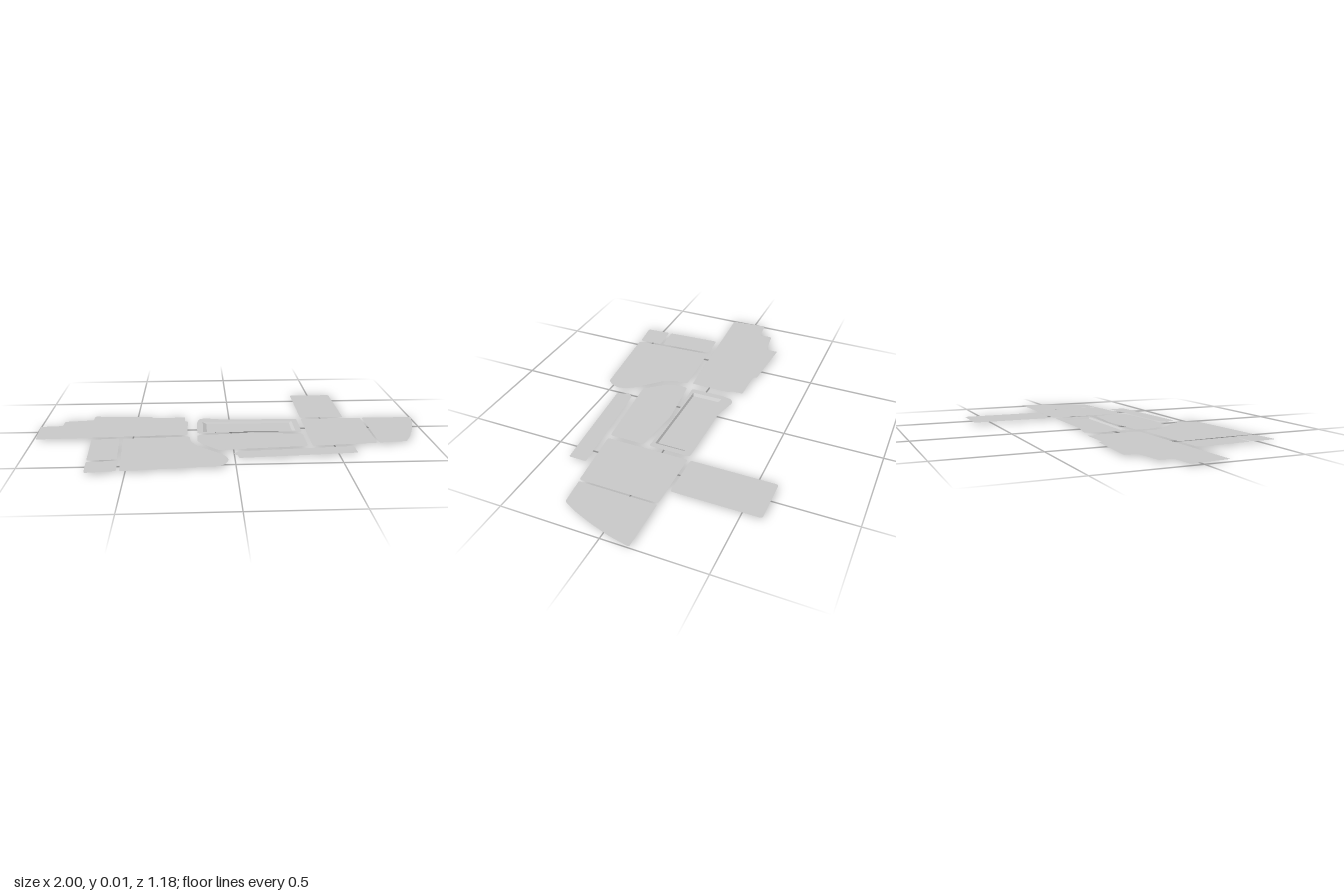
import * as THREE from 'three';

const TOP = 0.008; // height of the flat sheet above the tray floor
const material = new THREE.MeshStandardMaterial({ color: 0xcccccc, side: THREE.DoubleSide, flatShading: true });

// Flat outline from [x, z] corners, each corner rounded by radius r.
function roundedShape(points, r) {
  const pts = points.map(([x, z]) => new THREE.Vector2(x, -z));
  const shape = new THREE.Shape();
  pts.forEach((p, i) => {
    const prev = pts[(i + pts.length - 1) % pts.length];
    const next = pts[(i + 1) % pts.length];
    const toward = (q) => p.clone().lerp(q, Math.min(0.45, r / p.distanceTo(q)));
    const a = toward(prev), b = toward(next);
    if (i === 0) shape.moveTo(a.x, a.y);
    else shape.lineTo(a.x, a.y);
    shape.quadraticCurveTo(p.x, p.y, b.x, b.y);
  });
  shape.closePath();
  return shape;
}

function rect(x0, x1, z0, z1) {
  return [[x0, z0], [x1, z0], [x1, z1], [x0, z1]];
}

function plate(name, points, r = 0.012, hole = null) {
  const shape = roundedShape(points, r);
  if (hole) shape.holes.push(new THREE.Path(hole.map(([x, z]) => new THREE.Vector2(x, -z))));
  const geometry = new THREE.ShapeGeometry(shape, 5).rotateX(-Math.PI / 2).translate(0, TOP, 0);
  const mesh = new THREE.Mesh(geometry, material);
  mesh.name = name;
  return mesh;
}

// Shallow pan: four sloping walls from the rim down to a flat floor.
function tray(name, rim, floor) {
  const positions = [...rim.map(([x, z]) => [x, TOP, z]), ...floor.map(([x, z]) => [x, 0, z])].flat();
  const index = [4, 7, 6, 4, 6, 5];
  for (let i = 0; i < 4; i++) {
    const j = (i + 1) % 4;
    index.push(i, i + 4, j + 4, i, j + 4, j);
  }
  const geometry = new THREE.BufferGeometry();
  geometry.setAttribute('position', new THREE.Float32BufferAttribute(positions, 3));
  geometry.setIndex(index);
  const flat = geometry.toNonIndexed();
  flat.computeVertexNormals();
  const mesh = new THREE.Mesh(flat, material);
  mesh.name = name;
  return mesh;
}

export function createModel() {
  const group = new THREE.Group();
  group.name = 'flatPanels';

  // Stepped panel on the right side of the layout
  group.add(plate('steppedPanel', [
    [-1, -0.065], [-0.885, -0.075], [-0.885, -0.145], [-0.735, -0.165], [-0.735, -0.23],
    [-0.42, -0.21], [-0.42, -0.19], [-0.24, -0.19], [-0.24, -0.125], [-0.225, -0.12],
    [-0.225, 0.097], [-0.985, 0.133],
  ], 0.008));

  // Small panels and the curved panel in front of it
  group.add(plate('narrowPanel', [[-0.705, 0.147], [-0.565, 0.14], [-0.55, 0.43], [-0.69, 0.44]]));
  group.add(plate('smallPanel', [[-0.69, 0.455], [-0.545, 0.445], [-0.54, 0.572], [-0.682, 0.588]]));
  group.add(plate('curvedPanel', [
    [-0.55, 0.14], [-0.215, 0.125], [-0.208, 0.2], [-0.18, 0.26], [-0.075, 0.365], [-0.04, 0.415],
    [-0.03, 0.46], [-0.045, 0.505], [-0.07, 0.535], [-0.525, 0.575],
  ], 0.015));

  // Central panel with a sunken tray
  const rim = rect(-0.145, 0.335, -0.105, 0.058);
  group.add(plate('trayPanel', [
    [-0.175, 0.078], [-0.175, -0.1], [-0.165, -0.155], [-0.135, -0.171], [-0.1, -0.162],
    [-0.01, -0.14], [0.365, -0.14], [0.365, 0.078], [0.1, 0.062],
  ], 0.015, rim));
  group.add(tray('sunkenTray', rim, rect(-0.125, 0.32, -0.095, 0.05)));

  // Panels in front of the tray
  group.add(plate('peakedPanel', [
    [-0.175, 0.108], [0.1, 0.081], [0.365, 0.108], [0.365, 0.292], [-0.075, 0.328],
    [-0.16, 0.227], [-0.175, 0.19],
  ], 0.015));
  group.add(plate('stripPanel', [
    [-0.005, 0.38], [0.02, 0.35], [0.59, 0.303], [0.59, 0.395], [0.02, 0.438], [0.015, 0.405],
  ], 0.008));

  // Left side panels
  group.add(plate('backPanel', rect(0.39, 0.625, -0.595, -0.155)));
  group.add(plate('sidePanel', [[0.39, -0.14], [0.717, -0.14], [0.717, 0.263], [0.39, 0.292]]));
  group.add(plate('taperedPanel', [
    [0.727, -0.14], [1, -0.14], [0.977, -0.03], [0.942, 0.08], [0.905, 0.175], [0.868, 0.246], [0.727, 0.26],
  ], 0.01));

  return group;
}
